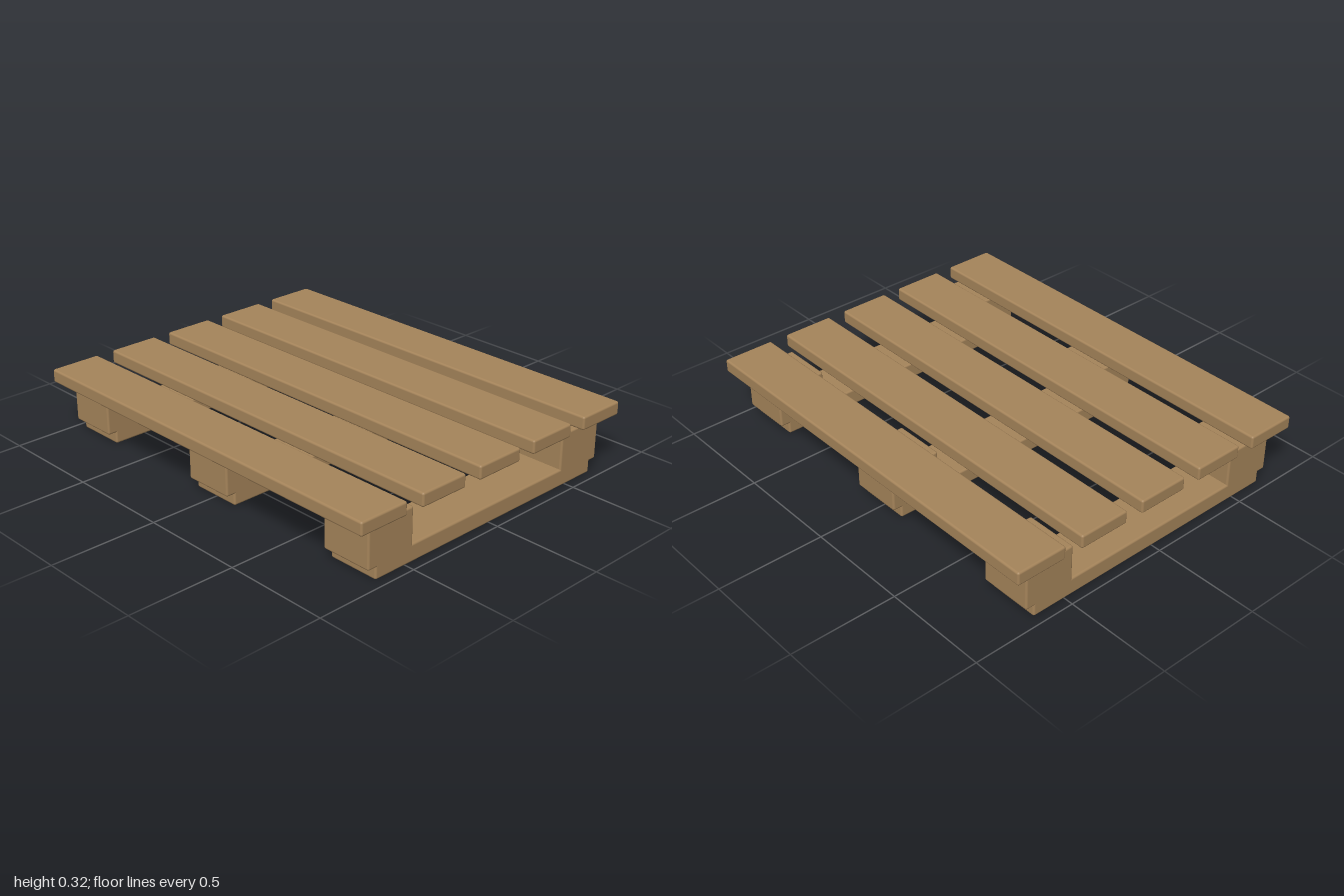
import * as THREE from 'three';
import { RoundedBoxGeometry } from 'three/addons/geometries/RoundedBoxGeometry.js';

const WIDTH = 0.247; // shared width of boards, blocks and runners

export function createModel() {
  const group = new THREE.Group();
  group.name = 'pallet';
  const wood = new THREE.MeshStandardMaterial({ color: 0xa5845a });

  // Softly edged plank spanning y0..y1, centred on x and z
  const plank = (name, width, y0, y1, depth, x, z) => {
    const geometry = new RoundedBoxGeometry(width, y1 - y0, depth, 2, 0.01);
    const mesh = new THREE.Mesh(geometry, wood);
    mesh.name = name;
    mesh.position.set(x, (y0 + y1) / 2, z);
    group.add(mesh);
  };

  // Five deck boards across the top
  for (let i = -2; i <= 2; i++) {
    plank('deckBoard', 2, 0.254, 0.318, WIDTH, 0, i * 0.333);
  }

  // Three runners, each with a block at the front and back
  for (const x of [-0.832, 0, 0.832]) {
    plank('runner', WIDTH, 0, 0.082, 1.332, x, 0);
    for (const side of [-1, 1]) {
      plank('spacerBlock', WIDTH, 0.055, 0.25, WIDTH, x, side * 0.583);
    }
  }

  return group;
}
